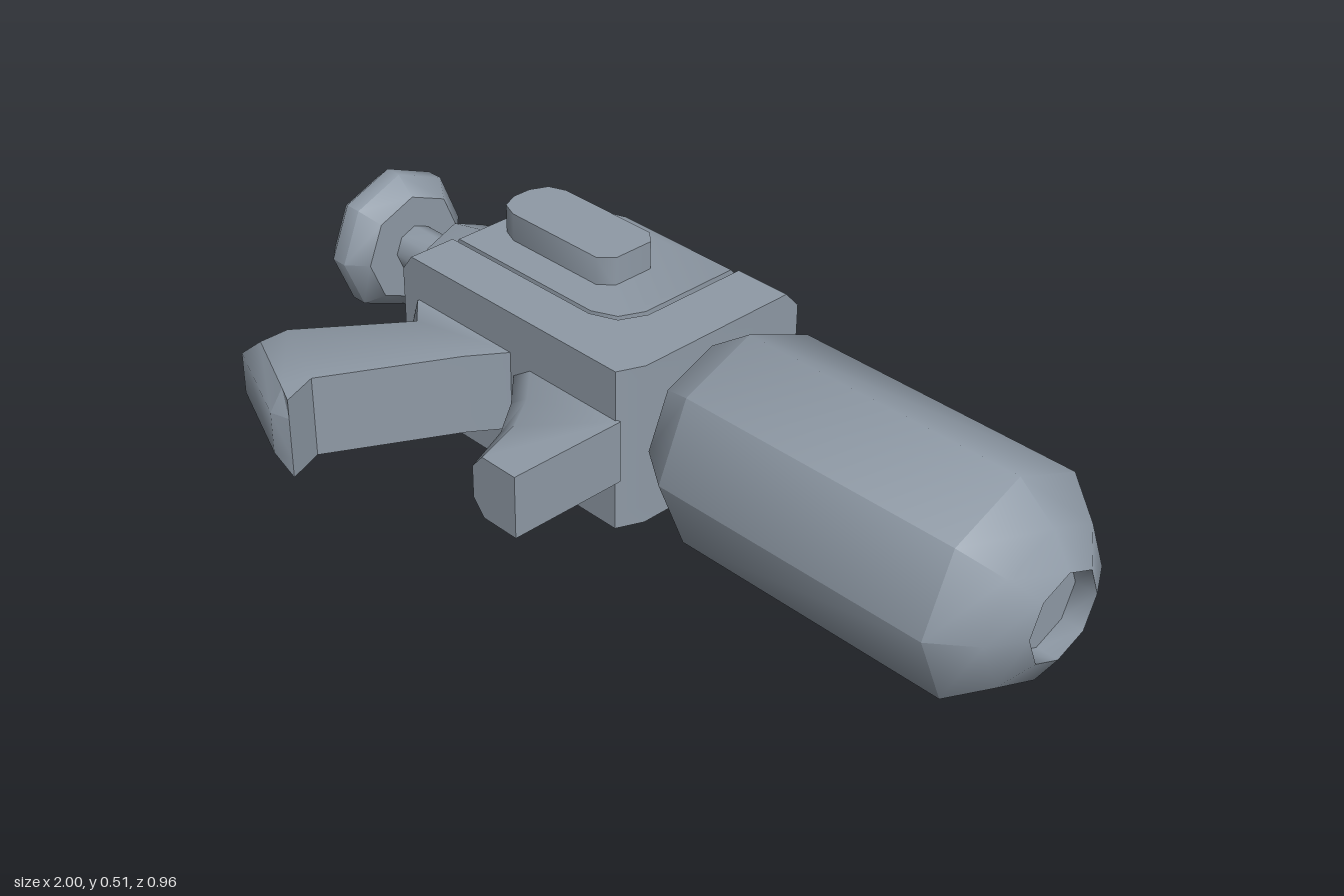
import * as THREE from 'three';
import { toCreasedNormals } from 'three/addons/utils/BufferGeometryUtils.js';

const CY = 0.265; // height of the long axis

// Closed solid stacked along y: bevelled outline at the ends, full outline between. Points are [x, z].
function slab(full, bevel, y0, y1, h, crease) {
  if (THREE.ShapeUtils.isClockWise(full.map(p => new THREE.Vector2(...p)))) {
    full = [...full].reverse();
    bevel = [...bevel].reverse();
  }
  const layers = h > 0
    ? [[bevel, y0], [full, y0 + h], [full, y1 - h], [bevel, y1]]
    : [[full, y0], [full, y1]];
  const n = full.length, pos = [], idx = [];
  for (const [outline, y] of layers) for (const [x, z] of outline) pos.push(x, y, z);
  for (let l = 0; l < layers.length - 1; l++) {
    for (let i = 0; i < n; i++) {
      const a = l * n + i, b = l * n + (i + 1) % n;
      idx.push(a, a + n, b + n, a, b + n, b);
    }
  }
  const top = (layers.length - 1) * n;
  const cap = THREE.ShapeUtils.triangulateShape(layers[0][0].map(p => new THREE.Vector2(...p)), []);
  for (const [a, b, c] of cap) idx.push(a, b, c, top + c, top + b, top + a);
  const g = new THREE.BufferGeometry();
  g.setAttribute('position', new THREE.Float32BufferAttribute(pos, 3));
  g.setIndex(idx);
  return toCreasedNormals(g, crease);
}

// Eight-sided turned part along x. Profile points are [radius, x].
function turned(profile, z) {
  const g = new THREE.LatheGeometry(profile.map(p => new THREE.Vector2(...p)), 8);
  g.rotateZ(-Math.PI / 2);
  g.translate(0, CY, z);
  return toCreasedNormals(g, 0.85);
}

export function createModel() {
  const group = new THREE.Group();
  const plastic = new THREE.MeshStandardMaterial({ color: 0x8f9aa6 });
  plastic.name = 'blueGreyPlastic';
  const add = (name, geometry) => {
    const mesh = new THREE.Mesh(geometry, plastic);
    mesh.name = name;
    group.add(mesh);
  };

  // Large barrel with a recessed muzzle
  add('barrel', turned([
    [0, 0.1], [0.175, 0.1], [0.245, 0.2], [0.245, 0.87], [0.175, 0.955],
    [0.1, 1], [0.1, 0.95], [0, 0.95],
  ], -0.2));

  // L-shaped frame, chamfered at the ends of both arms
  add('frame', slab(
    [[-0.61, -0.095], [-0.61, 0.02], [0.05, 0.02], [0.075, -0.04], [0.075, -0.482],
      [-0.062, -0.482], [-0.062, -0.18], [-0.09, -0.12], [-0.15, -0.095]],
    [[-0.58, -0.095], [-0.58, 0.02], [0.05, 0.02], [0.075, -0.04], [0.075, -0.445],
      [-0.062, -0.445], [-0.062, -0.18], [-0.09, -0.12], [-0.15, -0.095]],
    0.07, 0.45, 0.04, 0.6));

  // Inner housing, softened along its back
  add('housing', slab(
    [[-0.6, -0.105], [-0.6, -0.26], [-0.55, -0.415], [-0.4, -0.475],
      [-0.075, -0.475], [-0.075, -0.185], [-0.1, -0.13], [-0.155, -0.105]],
    [[-0.57, -0.105], [-0.57, -0.255], [-0.525, -0.39], [-0.395, -0.435],
      [-0.075, -0.435], [-0.075, -0.185], [-0.1, -0.13], [-0.155, -0.105]],
    0.07, 0.45, 0.045, 0.85));

  // Raised pads above and below the housing
  const pad = [[-0.543, -0.285], [-0.525, -0.325], [-0.485, -0.341], [-0.225, -0.341],
    [-0.195, -0.315], [-0.195, -0.215], [-0.225, -0.186], [-0.485, -0.186],
    [-0.525, -0.202], [-0.543, -0.24]];
  add('topPad', slab(pad, pad, 0.44, 0.515, 0, 0.85));
  add('bottomPad', slab(pad, pad, 0, 0.08, 0, 0.85));

  // Rear collar, plunger rod and knob
  add('collar', turned([[0, -0.73], [0.115, -0.73], [0.142, -0.61], [0.15, -0.57], [0, -0.57]], -0.225));
  add('plungerRod', turned([[0, -0.9], [0.055, -0.9], [0.055, -0.7], [0, -0.7]], -0.22));
  add('plungerKnob', turned([
    [0, -1], [0.13, -1], [0.17, -0.955], [0.17, -0.915], [0.13, -0.87], [0, -0.87],
  ], -0.217));

  // Slanted grip, bevelled along its rear
  add('grip', slab(
    [[-0.575, 0.015], [-0.575, 0.025], [-0.53, 0.07], [-0.706, 0.3], [-0.706, 0.385],
      [-0.48, 0.478], [-0.435, 0.465], [-0.468, 0.38], [-0.32, 0.1], [-0.262, 0.015]],
    [[-0.56, 0.015], [-0.56, 0.025], [-0.495, 0.08], [-0.655, 0.3], [-0.655, 0.37],
      [-0.48, 0.445], [-0.435, 0.465], [-0.468, 0.38], [-0.32, 0.1], [-0.262, 0.015]],
    0.165, 0.353, 0.045, 0.85));

  // Curved front lever
  add('trigger', slab(
    [[-0.262, 0.015], [-0.18, 0.095], [-0.115, 0.18], [-0.065, 0.297], [0.06, 0.297], [0.06, 0.015]],
    [[-0.21, 0.015], [-0.13, 0.095], [-0.075, 0.18], [-0.035, 0.297], [0.06, 0.297], [0.06, 0.015]],
    0.19, 0.335, 0.035, 0.85));

  return group;
}
